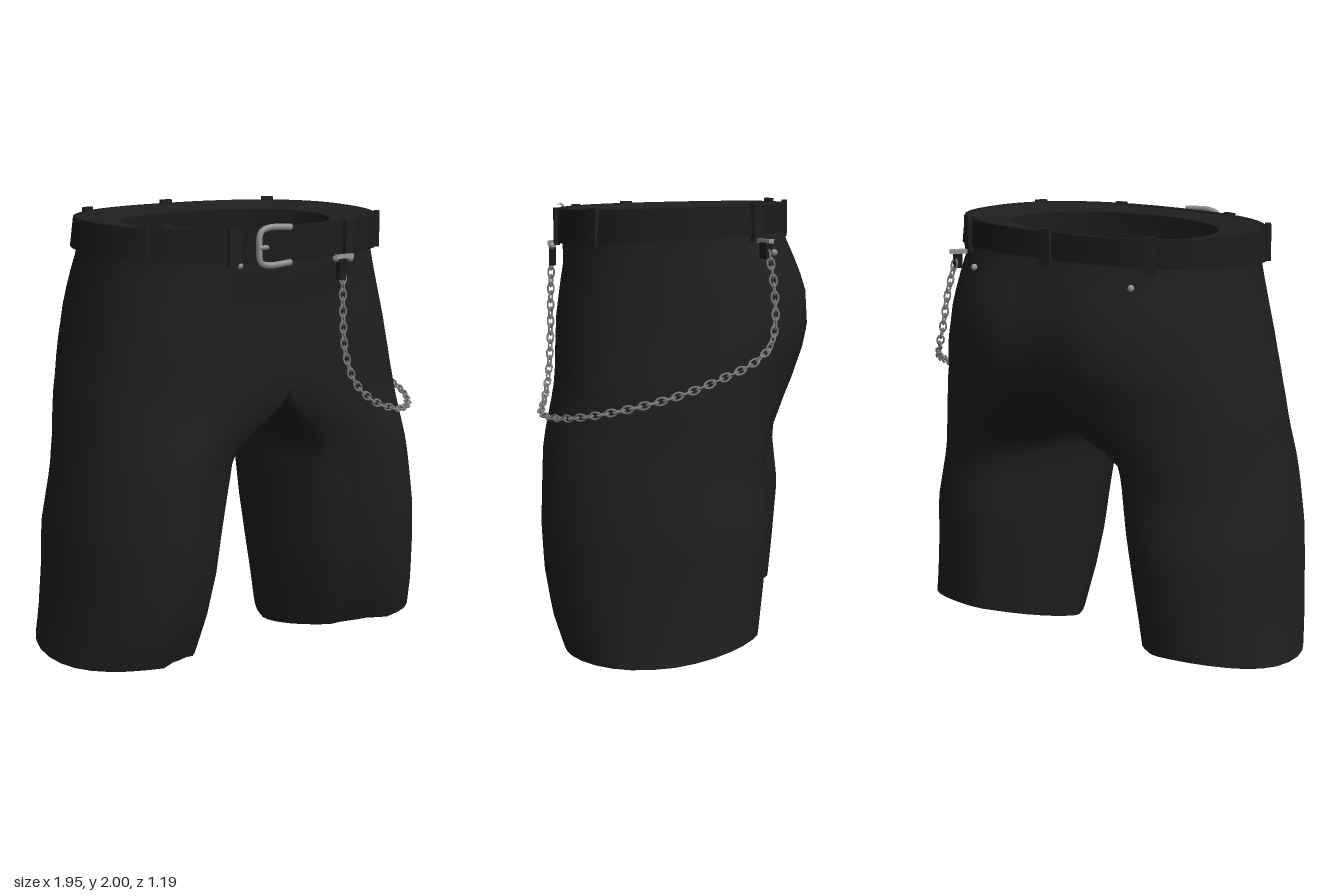
import * as THREE from 'three';
import { mergeVertices, mergeGeometries } from 'three/addons/utils/BufferGeometryUtils.js';

const material = (name, color) => Object.assign(new THREE.MeshStandardMaterial({ color }), { name });

// Piecewise linear lookup in a list of [height, value] pairs
function at(table, y) {
  for (let i = 1; i < table.length; i++) {
    const [y0, v0] = table[i - 1], [y1, v1] = table[i];
    if (y <= y1) return v0 + (v1 - v0) * Math.max(0, (y - y0) / (y1 - y0));
  }
  return table[table.length - 1][1];
}

// Body profile by height: outer side, inner leg, front depth, back depth
const OUT = [[0, 0.98], [0.2, 0.95], [0.4, 0.93], [0.6, 0.92], [0.8, 0.89], [1, 0.855], [1.2, 0.83], [1.44, 0.775], [1.66, 0.735], [1.82, 0.705], [2, 0.69]];
const INN = [[0, 0.22], [0.4, 0.15], [0.6, 0.12], [0.8, 0.085], [1, 0.045], [1.06, 0.035]];
const FRONT = [[0, 0.43], [0.2, 0.505], [0.4, 0.545], [0.6, 0.56], [1.5, 0.555], [1.8, 0.525], [2, 0.51]];
const BACK = [[0, 0.39], [0.3, 0.42], [0.6, 0.445], [0.85, 0.42], [1, 0.45], [1.2, 0.54], [1.4, 0.612], [1.6, 0.602], [1.72, 0.555], [1.85, 0.48], [2, 0.455]];
const CROTCH = 1.27, LOW = 1.055, K = 20, M = 14;

const pow = (v, p) => Math.abs(v) < 1e-6 ? 0 : Math.sign(v) * Math.abs(v) ** p;
const { smoothstep, lerp } = THREE.MathUtils;

// Cross-section of the hips at angle a (0 is the side, 90 degrees the front)
function hipPoint(a, y) {
  const p = a < 0 ? 0.86 : lerp(0.76, 0.84, smoothstep(y, 1.3, 1.85));
  const s = pow(Math.sin(a), p);
  return new THREE.Vector3(at(OUT, y) * pow(Math.cos(a), p), y, s * at(s > 0 ? FRONT : BACK, y));
}

// Cross-section of one leg, round outside and tapered towards the inner thigh
function legPoint(a, y) {
  const o = at(OUT, y), i = at(INN, y), f = at(FRONT, y), b = at(BACK, y);
  const c = Math.cos(a), p = c > 0 ? 0.95 : lerp(0.95, 1.35, smoothstep(-c, 0, 0.5));
  return new THREE.Vector3((o + i) / 2 + (o - i) / 2 * pow(c, p), y,
    (f - b) / 2 + (f + b) / 2 * pow(Math.sin(a), p));
}

// Front pleat, stepping back towards the middle, and the dip between the seat halves
const PLEAT = { 17: 0.005, 18: -0.045, 19: -0.045, 20: -0.03 };
function tailor(v, k) {
  v.z += (PLEAT[k] ?? 0) * (1 - smoothstep(v.y, 1.6, 1.8));
  if (v.z < 0) v.z *= 1 - 0.09 * Math.exp(-((v.x / 0.13) ** 2)) * smoothstep(v.y, 0.95, 1.2) * (1 - smoothstep(v.y, 1.7, 1.85));
  return v;
}

// Rows of points joined into a surface, optionally mirrored to the other side
function loft(rows, closed, mirror = 1) {
  const n = rows[0].length, pos = [], idx = [];
  rows.forEach(r => r.forEach(v => pos.push(v.x * mirror, v.y, v.z)));
  for (let j = 0; j + 1 < rows.length; j++) {
    for (let i = 0; i < (closed ? n : n - 1); i++) {
      const a = j * n + i, b = j * n + (i + 1) % n, c = a + n, d = b + n;
      if (mirror > 0) idx.push(a, c, b, b, c, d);
      else idx.push(a, b, c, b, d, c);
    }
  }
  const g = new THREE.BufferGeometry();
  g.setAttribute('position', new THREE.Float32BufferAttribute(pos, 3));
  g.setIndex(idx);
  return g;
}

function shortsGeometry() {
  const legRows = [], hipRows = [], legTurn = Math.PI * 2 / 3;
  for (let j = 0; j <= 18; j++) {
    const t = j / 18, row = [];
    for (let k = 0; k < K + M; k++) {
      const outer = k <= K, s = k / K * 2 - 1, w = outer ? 1 : 1 - 2 * (k - K) / M;
      const a = outer ? s * legTurn : legTurn + (k - K) / M * legTurn;
      const sn = Math.sin(a);
      const hem = 0.03 + 0.02 * Math.cos(a) - 0.035 * sn + 0.055 * sn * sn;
      const y = lerp(hem, lerp(LOW, CROTCH, w * w), t);
      const ring = outer ? hipPoint(s * Math.PI / 2, y)
        : new THREE.Vector3(0, y, w * at(w > 0 ? FRONT : BACK, lerp(y, CROTCH, t)));
      const blend = smoothstep(t, lerp(0.94, 0.7, w * w), 1);
      row.push(tailor(legPoint(a, y).lerp(ring, blend), k));
    }
    legRows.push(row);
  }
  for (let j = 0; j <= 9; j++) {
    const y = lerp(CROTCH, 1.97, j / 9), row = [];
    for (let k = 0; k <= K; k++) row.push(tailor(hipPoint((k / K - 0.5) * Math.PI, y), k));
    hipRows.push(row);
  }
  const parts = [1, -1].flatMap(m => [loft(legRows, true, m), loft(hipRows, false, m)]);
  const g = mergeVertices(mergeGeometries(parts), 1e-4);
  g.computeVertexNormals();
  return g;
}

// Rounded ring point and ring round the waist, tilted up towards the back
function waistPoint(a, w, f, b, y, tilt, p = 0.84) {
  const s = pow(Math.sin(a), p), z = s * (s > 0 ? f : b);
  return new THREE.Vector3(w * pow(Math.cos(a), p), y - tilt * z, z);
}
const oval = (w, f, b, y, tilt = 0.02, p = 0.84) =>
  Array.from({ length: 48 }, (_, i) => waistPoint(i / 24 * Math.PI, w, f, b, y, tilt, p));

function band(rows) {
  const g = loft(rows, true);
  g.computeVertexNormals();
  return g;
}

export function createModel() {
  const model = new THREE.Group();
  const cloth = material('black cloth', 0x1f1f1f);
  const leather = material('black leather', 0x1b1b1b);
  const steel = material('buckle steel', 0x969696);
  const links = material('chain steel', 0x848484);
  cloth.side = leather.side = THREE.DoubleSide;

  const add = (name, geometry, mat, x = 0, y = 0, z = 0, parent = model) => {
    const mesh = new THREE.Mesh(geometry, mat);
    mesh.name = name;
    mesh.position.set(x, y, z);
    parent.add(mesh);
    return mesh;
  };

  add('shorts', shortsGeometry(), cloth);
  add('waistRim', band([oval(0.695, 0.52, 0.46, 1.978), oval(0.51, 0.41, 0.32, 1.955, 0.02, 0.94)]), cloth);

  // Belt: outer face plus top and bottom edges
  const outerLow = oval(0.735, 0.55, 0.482, 1.845, 0.05), outerTop = oval(0.716, 0.55, 0.482, 1.98);
  const innerLow = oval(0.69, 0.51, 0.45, 1.845, 0.05), innerTop = oval(0.69, 0.51, 0.45, 1.98);
  add('belt', band([outerLow, outerTop]), leather);
  add('beltTopEdge', band([outerTop, innerTop]), leather);
  add('beltBottomEdge', band([innerLow, outerLow]), leather);

  // Belt loops, given by their angle round the waist
  for (const deg of [69, 31, 149, 111, -48, -128, -90]) {
    const a = deg * Math.PI / 180;
    const spot = t => waistPoint(t, 0.73, 0.553, 0.485, 1.908, 0.03);
    const p = spot(a), side = spot(a + 0.05).sub(spot(a - 0.05));
    const loop = add('beltLoop', new THREE.BoxGeometry(0.055, 0.165, 0.024), cloth, p.x, p.y, p.z);
    loop.rotation.y = Math.atan2(side.z, -side.x);
  }

  // Open buckle frame with its prong
  const tube = (points, r, n = 32) => new THREE.TubeGeometry(
    new THREE.CatmullRomCurve3(points.map(p => new THREE.Vector3(...p))), n, r, 6);
  const buckle = new THREE.Group();
  buckle.name = 'buckle';
  model.add(buckle);
  add('buckleFrame', tube([[-0.04, 1.967, 0.565], [-0.17, 1.97, 0.572], [-0.21, 1.953, 0.577], [-0.22, 1.89, 0.58],
    [-0.21, 1.827, 0.577], [-0.17, 1.81, 0.572], [-0.04, 1.814, 0.565]], 0.014), steel, 0, 0, 0, buckle);
  add('buckleProng', tube([[-0.225, 1.89, 0.588], [-0.19, 1.89, 0.588], [-0.165, 1.885, 0.565]], 0.01, 6), steel, 0, 0, 0, buckle);

  // Small studs under the belt
  const stud = new THREE.SphereGeometry(0.015, 8, 6);
  for (const [x, y, z] of [[-0.285, 1.812, 0.53], [0.22, 1.81, 0.55], [0.305, 1.805, 0.545], [0.43, 1.785, -0.455], [-0.43, 1.785, -0.455]])
    add('stud', stud, steel, x, y, z);

  // Clips holding the chain
  add('frontClipBar', new THREE.BoxGeometry(0.1, 0.018, 0.018), steel, 0.262, 1.818, 0.555);
  add('frontClipTab', new THREE.BoxGeometry(0.045, 0.08, 0.025), leather, 0.255, 1.755, 0.55);
  add('backClipBar', new THREE.BoxGeometry(0.08, 0.018, 0.03), steel, 0.55, 1.84, -0.42).rotation.y = 0.8;
  add('backClipTab', new THREE.BoxGeometry(0.04, 0.07, 0.03), leather, 0.555, 1.8, -0.42).rotation.y = 0.8;

  // Hanging chain: links turned alternately along a curve
  const path = new THREE.CatmullRomCurve3([[0.258, 1.72, 0.555], [0.257, 1.55, 0.56], [0.275, 1.38, 0.56], [0.335, 1.24, 0.56],
    [0.45, 1.14, 0.56], [0.6, 1.09, 0.55], [0.73, 1.085, 0.46], [0.83, 1.11, 0.3], [0.867, 1.165, 0.06], [0.84, 1.215, -0.11],
    [0.79, 1.27, -0.25], [0.72, 1.33, -0.38], [0.65, 1.4, -0.45], [0.61, 1.5, -0.468], [0.585, 1.65, -0.46], [0.56, 1.78, -0.44]]
    .map(p => new THREE.Vector3(...p)));
  const count = Math.round(path.getLength() / 0.037), xAxis = new THREE.Vector3(1, 0, 0), parts = [];
  for (let i = 0; i <= count; i++) {
    const link = new THREE.TorusGeometry(0.0155, 0.0045, 5, 10);
    link.scale(1.6, 1, 1);
    link.rotateX(i % 2 * Math.PI / 2 + 0.3);
    link.applyQuaternion(new THREE.Quaternion().setFromUnitVectors(xAxis, path.getTangentAt(i / count)));
    link.translate(...path.getPointAt(i / count).toArray());
    parts.push(link);
  }
  add('chain', mergeGeometries(parts), links);
  return model;
}
